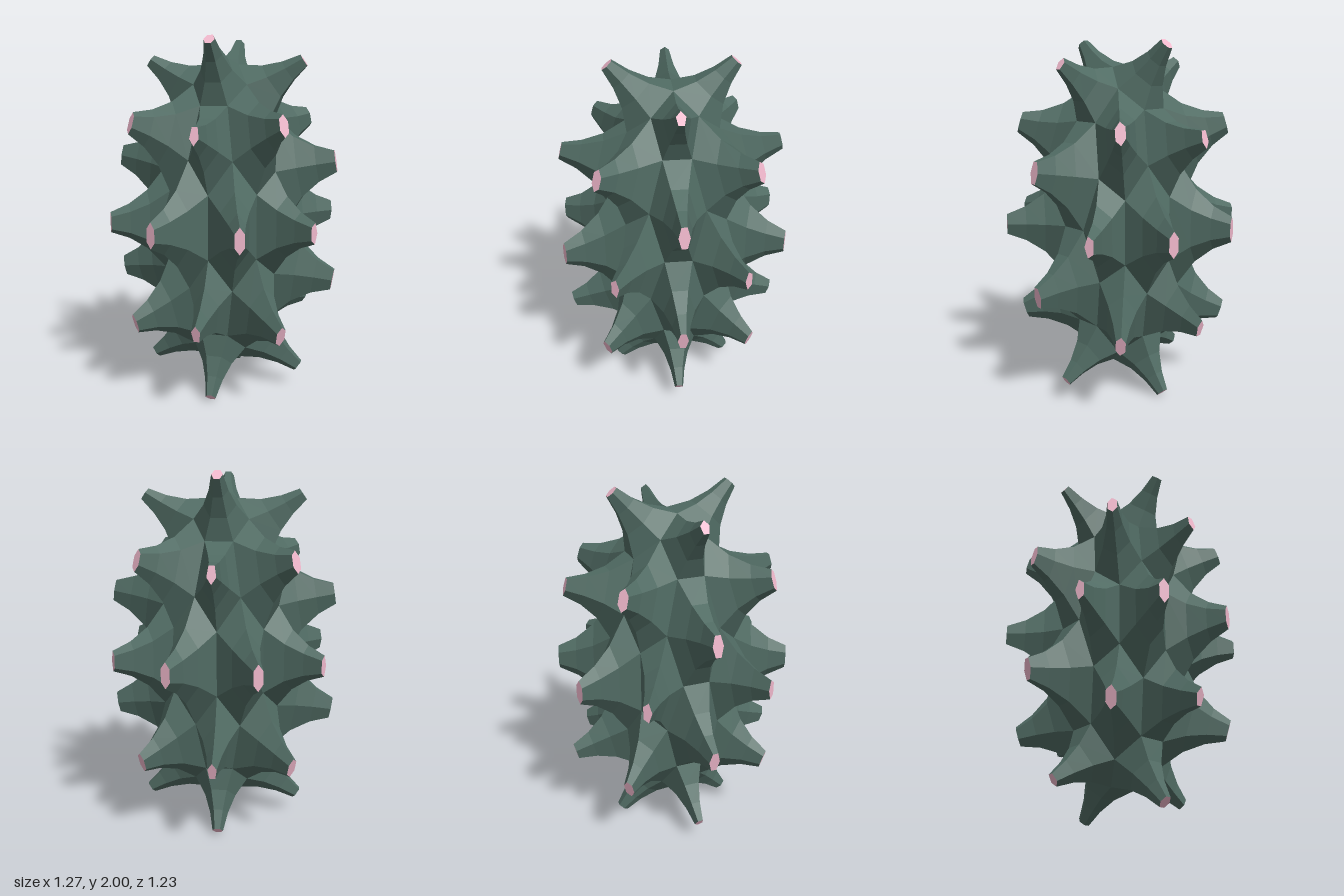
import * as THREE from 'three';

const PHI = (1 + Math.sqrt(5)) / 2;
const STRETCH = new THREE.Vector3(0.075, 0.176, 0.075); // tall oval body
const STEPS = 3;       // rings per spine
const LENGTH = 0.31;   // spine length
const TIP_SCALE = 0.2; // tip size relative to spine base

// All sign variants and cyclic permutations of a coordinate triple
function orbit(a, b, c) {
  const out = [];
  const signs = (n) => (n === 0 ? [1] : [1, -1]);
  for (const i of signs(a)) for (const j of signs(b)) for (const k of signs(c)) {
    const [x, y, z] = [a * i, b * j, c * k];
    out.push(new THREE.Vector3(x, y, z), new THREE.Vector3(y, z, x), new THREE.Vector3(z, x, y));
  }
  return out;
}

// Corners of a truncated icosahedron
const corners = [
  ...orbit(0, 1, 3 * PHI),
  ...orbit(1, 2 + PHI, 2 * PHI),
  ...orbit(PHI, 2, PHI ** 3),
];

// Directions of its 12 pentagons and 20 hexagons
const cube = [];
for (const x of [1, -1]) for (const y of [1, -1]) for (const z of [1, -1]) cube.push(new THREE.Vector3(x, y, z));
const directions = [...orbit(0, 1, PHI), ...cube, ...orbit(0, PHI, 1 / PHI)].map((d) => d.normalize());

// Corners of the face looking along dir, counter-clockwise from outside
function faceCorners(dir) {
  const far = Math.max(...corners.map((c) => c.dot(dir)));
  const ring = corners.filter((c) => c.dot(dir) > far - 1e-4);
  const u = ring[0].clone().addScaledVector(dir, -far).normalize();
  const v = dir.clone().cross(u);
  const angle = (c) => Math.atan2(c.dot(v), c.dot(u));
  return ring.sort((a, b) => angle(a) - angle(b)).map((c) => c.clone().multiply(STRETCH));
}

function flatGeometry(points) {
  const g = new THREE.BufferGeometry().setFromPoints(points);
  g.computeVertexNormals();
  return g;
}

export function createModel() {
  const model = new THREE.Group();
  model.name = 'spikyPod';
  const green = new THREE.MeshStandardMaterial({ color: 0x506b63, flatShading: true });
  const pink = new THREE.MeshStandardMaterial({ color: 0xf0b8cc, flatShading: true });

  for (const dir of directions) {
    const base = faceCorners(dir);
    const n = base.length;
    const centre = base.reduce((s, p) => s.add(p), new THREE.Vector3()).divideScalar(n);
    const normal = dir.clone().divide(STRETCH).normalize();

    // Rings shrink by a constant ratio, giving a concave taper
    const rings = [];
    for (let i = 0; i <= STEPS; i++) {
      const t = i / STEPS;
      const mid = centre.clone().addScaledVector(normal, LENGTH * t);
      const s = TIP_SCALE ** t;
      rings.push(base.map((p) => p.clone().sub(centre).multiplyScalar(s).add(mid)));
    }

    // Faceted sides
    const sides = [];
    for (let i = 0; i < STEPS; i++) {
      for (let j = 0; j < n; j++) {
        const k = (j + 1) % n;
        const [a, b, c, d] = [rings[i][j], rings[i][k], rings[i + 1][k], rings[i + 1][j]];
        sides.push(a, b, c, a, c, d);
      }
    }

    // Flat cap
    const cap = [];
    const top = rings[STEPS];
    for (let j = 1; j < n - 1; j++) cap.push(top[0], top[j], top[j + 1]);

    const spine = new THREE.Group();
    spine.name = 'spine';
    const shaft = new THREE.Mesh(flatGeometry(sides), green);
    shaft.name = 'spineShaft';
    const tip = new THREE.Mesh(flatGeometry(cap), pink);
    tip.name = 'spineTip';
    spine.add(shaft, tip);
    model.add(spine);
  }

  // Stand the pod on the ground
  model.position.y = 1;
  return model;
}
